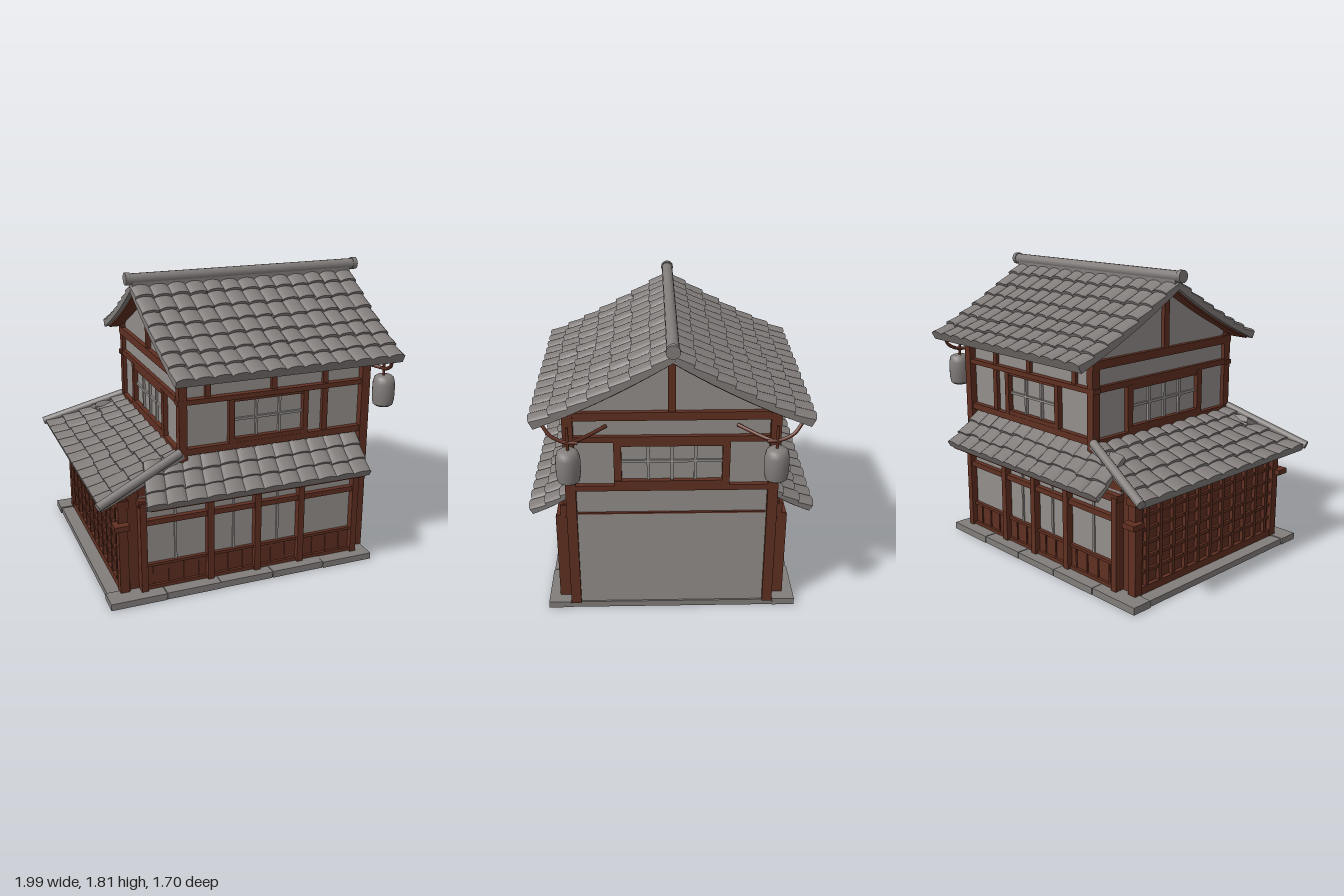
import * as THREE from 'three';
import { toCreasedNormals } from 'three/addons/utils/BufferGeometryUtils.js';

const mat = (name, color) => {
  const m = new THREE.MeshStandardMaterial({ color });
  m.name = name;
  return m;
};
const V = (x, y, z) => new THREE.Vector3(x, y, z);
const hash = (a, b) => { const s = Math.sin(a * 12.99 + b * 78.23) * 43758.5; return s - Math.floor(s); };

// Closed roof sheet between four corners (top left/right, bottom left/right seen from outside)
function sheet([a, b, c, d], { cols = 1, rows = 1, rib = 0, step = 0, t = 0.04, sag = 0 }) {
  const seg = rib ? 8 : 1, n = cols * seg;
  const normal = b.clone().sub(a).cross(a.clone().sub(c)).normalize();
  const levels = [[0, -1, 0]];
  for (let r = 0; r < rows; r++) {
    levels.push([r, 0, r]);
    if (rib) levels.push([r + 0.5, 0.5, r]);
    levels.push([r + 1, 1, r]);
  }
  levels.push([rows, -1, 0]);
  // flat underside, following the same sag
  for (let r = rows - 1; r >= 0; r--) levels.push([r, -1, 0]);
  const pos = [], idx = [], w = n + 3;
  for (const [row, kind, r] of levels) {
    for (let k = 0; k < w; k++) {
      const i = Math.min(Math.max(k - 1, 0), n), u = i / n;
      const col = Math.min(Math.floor(i / seg), cols - 1);
      const edge = k === 0 || k === w - 1 || kind < 0;
      const jitter = rib && row > 0 && row < rows && !edge ? (hash(col, row) - 0.5) * 0.16 : 0;
      const v = (row + jitter) / rows;
      const arch = Math.pow(Math.abs(Math.sin(Math.PI * (i % seg) / seg)), 0.6);
      const lift = edge ? -t : rib * arch + step * kind + (rib ? 0.005 * hash(col + 7, r) : 0);
      const p = a.clone().lerp(b, u).lerp(c.clone().lerp(d, u), v).addScaledVector(normal, lift);
      pos.push(p.x, p.y - sag * 4 * v * (1 - v), p.z);
    }
  }
  for (let j = 0; j < levels.length - 1; j++) {
    for (let i = 0; i < w - 1; i++) {
      const p = j * w + i, q = p + w;
      idx.push(p, q, q + 1, p, q + 1, p + 1);
    }
  }
  const g = new THREE.BufferGeometry();
  g.setAttribute('position', new THREE.Float32BufferAttribute(pos, 3));
  g.setIndex(idx);
  return toCreasedNormals(g, 0.6);
}

export function createModel() {
  const house = new THREE.Group();
  house.name = 'house';
  const plaster = mat('plaster', 0x938e8b);
  const tile = mat('roofTile', 0x827d7b);
  const wood = mat('wood', 0x5f2f21);

  const add = (name, m, g) => {
    const o = new THREE.Mesh(g, m);
    o.name = name;
    house.add(o);
    return o;
  };
  const box = (name, m, x0, x1, y0, y1, z0, z1) => {
    const o = add(name, m, new THREE.BoxGeometry(Math.abs(x1 - x0), y1 - y0, Math.abs(z1 - z0)));
    o.position.set((x0 + x1) / 2, (y0 + y1) / 2, (z0 + z1) / 2);
    return o;
  };
  const tube = (name, m, pts, r, sides = 10) =>
    add(name, m, new THREE.TubeGeometry(new THREE.CatmullRomCurve3(pts), 12, r, sides));
  const rod = (name, m, p, q, r) => {
    const o = add(name, m, new THREE.CylinderGeometry(r, r, p.distanceTo(q), 14));
    o.position.copy(p).lerp(q, 0.5);
    o.quaternion.setFromUnitVectors(V(0, 1, 0), q.clone().sub(p).normalize());
    return o;
  };

  // Stone base with edging blocks
  box('base', tile, -0.92, 0.77, 0, 0.038, -0.74, 0.74);
  for (const s of [-1, 1]) {
    for (let i = 0; i < 5; i++) {
      const x = -0.93 + i * 0.342;
      box('edgingStone', tile, x, x + 0.338, 0.002, 0.042 + 0.005 * hash(i, s), s * 0.62, s * (0.748 + 0.008 * hash(s, i)));
    }
  }

  // Two-storey core with gable ends
  const gable = new THREE.Shape([[-0.57, 0.03], [0.57, 0.03], [0.57, 1.36], [0, 1.67], [-0.57, 1.36]]
    .map(([x, y]) => new THREE.Vector2(x, y)));
  const core = add('coreWalls', plaster, new THREE.ExtrudeGeometry(gable, { depth: 1.18, bevelEnabled: false }));
  core.rotation.y = Math.PI / 2;
  core.position.x = -0.43;

  for (const s of [-1, 1]) {
    // Corner posts
    box('cornerPost', wood, 0.73, 0.785, 0.04, 1.34, s * 0.555, s * 0.615);
    box('cornerPost', wood, -0.455, -0.405, 0.04, 1.34, s * 0.555, s * 0.61);

    // Upper storey, front and back
    box('eaveBeam', wood, -0.45, 0.78, 1.275, 1.33, s * 0.56, s * 0.605);
    box('upperBeam', wood, -0.465, 0.77, 1.14, 1.17, s * 0.56, s * 0.612);
    box('floorBeam', wood, -0.45, 0.77, 0.83, 0.87, s * 0.56, s * 0.605);
    for (const x of [-0.27, 0.15, 0.49]) box('shortPost', wood, x - 0.017, x + 0.017, 1.16, 1.29, s * 0.56, s * 0.592);
    box('wallPost', wood, 0.472, 0.508, 0.85, 1.16, s * 0.56, s * 0.595);
    for (const x of [-0.125, 0.355]) box('windowJamb', wood, x - 0.017, x + 0.017, 0.85, 1.15, s * 0.56, s * 0.605);
    box('windowSill', wood, -0.14, 0.37, 0.868, 0.895, s * 0.56, s * 0.603);
    box('windowHead', wood, -0.14, 0.37, 1.122, 1.145, s * 0.56, s * 0.598);
    for (const x of [0.04, 0.19]) box('windowBar', plaster, x - 0.007, x + 0.007, 0.89, 1.125, s * 0.56, s * 0.588);
    box('windowBar', plaster, -0.11, 0.34, 1.0, 1.014, s * 0.56, s * 0.586);

    // Lower storey shopfront
    box('shopWall', plaster, -0.72, 0.69, 0.03, 0.64, s * 0.5, s * 0.645);
    box('shopUpperWall', wood, -0.72, 0.69, 0.62, 0.7, s * 0.5, s * 0.645);
    box('shopEnd', wood, 0.685, 0.702, 0.04, 0.69, s * 0.56, s * 0.66);
    box('shopHeadBeam', wood, -0.73, 0.705, 0.585, 0.625, s * 0.63, s * 0.685);
    box('shopTransom', wood, -0.72, 0.7, 0.462, 0.495, s * 0.63, s * 0.678);
    box('shopPanel', wood, -0.72, 0.7, 0.04, 0.2, s * 0.63, s * 0.655);
    box('shopSill', wood, -0.72, 0.7, 0.19, 0.207, s * 0.63, s * 0.668);
    box('shopFoot', wood, -0.72, 0.7, 0.04, 0.066, s * 0.63, s * 0.672);
    for (const x of [-0.705, -0.29, 0.015, 0.305, 0.68]) box('shopPost', wood, x - 0.02, x + 0.02, 0.04, 0.61, s * 0.63, s * 0.69);
    for (const x of [-0.5, -0.13, 0.16]) {
      box('slidingPanelBar', plaster, x - 0.007, x + 0.007, 0.2, 0.59, s * 0.63, s * 0.654);
    }
    for (let i = 0; i < 14; i++) {
      const x = -0.64 + i * 0.095;
      box('panelBatten', wood, x - 0.005, x + 0.005, 0.06, 0.195, s * 0.64, s * 0.661);
    }
    // Post at the corner of the side room
    box('sideRoomPost', wood, -0.845, -0.79, 0.04, 0.64, s * 0.6, s * 0.655);
    box('postBracket', wood, -0.88, -0.79, 0.465, 0.497, s * 0.62, s * 0.705);

    // Gable brackets and hanging lanterns
    tube('lanternBracket', wood, [V(0.87, 1.3, s * 0.71), V(0.89, 1.25, s * 0.67), V(0.9, 1.215, s * 0.6), V(0.9, 1.205, s * 0.52)], 0.011, 8);
    tube('lanternArm', wood, [V(0.9, 1.208, s * 0.55), V(0.84, 1.22, s * 0.47), V(0.76, 1.24, s * 0.37)], 0.011, 8);
    rod('lanternHook', wood, V(0.905, 1.16, s * 0.575), V(0.9, 1.3, s * 0.575), 0.008);
    const profile = [[0, 0], [0.045, 0], [0.062, 0.012], [0.069, 0.05], [0.07, 0.1], [0.069, 0.15], [0.06, 0.185], [0.045, 0.197], [0, 0.197]];
    const lantern = add('lantern', tile, toCreasedNormals(
      new THREE.LatheGeometry(profile.map(p => new THREE.Vector2(...p)), 20), 0.7));
    lantern.position.set(0.908, 0.97, s * 0.577);
  }

  // Gable-end timbers and windows
  for (const [x, s] of [[0.75, 1], [-0.43, -1]]) {
    const bar = (name, m, z0, z1, y0, y1, d) => box(name, m, x - s * 0.01, x + s * d, y0, y1, z0, z1);
    bar('gablePost', wood, -0.022, 0.022, 1.31, 1.65, 0.025);
    bar('gableBeam', wood, -0.61, 0.61, 1.28, 1.33, 0.03);
    bar('gableUpperBeam', wood, -0.6, 0.6, 1.142, 1.178, 0.026);
    bar('gableFloorBeam', wood, -0.6, 0.6, 0.83, 0.865, 0.03);
    for (const z of [-0.31, 0.31]) bar('windowJamb', wood, z - 0.022, z + 0.022, 0.86, 1.15, 0.028);
    bar('windowSill', wood, -0.33, 0.33, 0.864, 0.895, 0.03);
    bar('windowHead', wood, -0.33, 0.33, 1.115, 1.145, 0.024);
    for (const z of [-0.135, 0, 0.135]) bar('windowBar', plaster, z - 0.009, z + 0.009, 0.89, 1.12, 0.014);
    bar('windowBar', plaster, -0.29, 0.29, 1.005, 1.021, 0.012);
  }
  // Thicker plain lower wall on the right end
  box('lowerEndWall', plaster, 0.74, 0.762, 0.04, 0.665, -0.56, 0.56);
  box('lowerEndTrim', wood, 0.74, 0.764, 0.664, 0.673, -0.55, 0.55);

  // Side room with lattice wall
  box('sideRoom', wood, -0.815, -0.7, 0.03, 0.66, -0.63, 0.63);
  box('sideRoomBeam', wood, -0.85, -0.78, 0.585, 0.63, -0.66, 0.66);
  box('sideRoomFoot', wood, -0.84, -0.78, 0.04, 0.085, -0.64, 0.64);
  for (let i = 0; i < 11; i++) {
    const z = -0.55 + i * 0.11;
    box('latticeUpright', wood, -0.838, -0.81, 0.06, 0.6, z - 0.012, z + 0.012);
  }
  for (let i = 0; i < 5; i++) {
    const y = 0.17 + i * 0.085;
    box('latticeRail', wood, -0.832, -0.81, y - 0.01, y + 0.01, -0.62, 0.62);
  }

  // Roofs: tiled sheet over a timber underside
  const roof = (name, corners, tiles, drop) => {
    add(name, tile, sheet(corners, tiles));
    const [a, b, c, d] = corners.map(p => p.clone().setY(p.y - drop));
    const inset = [a.clone().lerp(b, 0.02), b.clone().lerp(a, 0.02), c.clone().lerp(d, 0.02), d.clone().lerp(c, 0.02)];
    inset[2].lerp(inset[0], 0.05);
    inset[3].lerp(inset[1], 0.05);
    add(name + 'Underside', wood, sheet(inset, { t: 0.012, rows: tiles.rows, sag: tiles.sag }));
  };
  for (const s of [-1, 1]) {
    const flip = q => (s > 0 ? q : [q[1], q[0], q[3], q[2]]);
    roof('mainRoof', flip([V(-0.55, 1.725, 0), V(0.95, 1.725, 0), V(-0.525, 1.325, s * 0.77), V(0.915, 1.325, s * 0.77)]),
      { cols: 13, rows: 7, rib: 0.018, step: 0.016, t: 0.03, sag: 0.022 }, 0.035);
    roof('shopRoof', flip([V(-0.66, 0.81, s * 0.56), V(0.73, 0.81, s * 0.56), V(-0.725, 0.645, s * 0.835), V(0.69, 0.645, s * 0.835)]),
      { cols: 12, rows: 3, rib: 0.015, step: 0.014, t: 0.022, sag: 0.008 }, 0.028);
    rod('hipRidge', tile, V(-0.985, 0.665, s * 0.755), V(-0.45, 0.855, s * 0.605), 0.026);
  }
  roof('sideRoof', [V(-0.43, 0.84, -0.61), V(-0.43, 0.84, 0.61), V(-0.97, 0.65, -0.745), V(-0.97, 0.65, 0.745)],
    { cols: 11, rows: 5, rib: 0.015, step: 0.015, t: 0.022, sag: 0.008 }, 0.028);

  // Ridge with end caps
  rod('ridge', tile, V(-0.575, 1.765, 0), V(0.99, 1.765, 0), 0.035);
  for (const x of [-0.565, 0.98]) rod('ridgeCap', tile, V(x - 0.015, 1.768, 0), V(x + 0.015, 1.768, 0), 0.039);
  box('ridgeBase', tile, -0.54, 0.94, 1.69, 1.75, -0.03, 0.03);

  return house;
}
